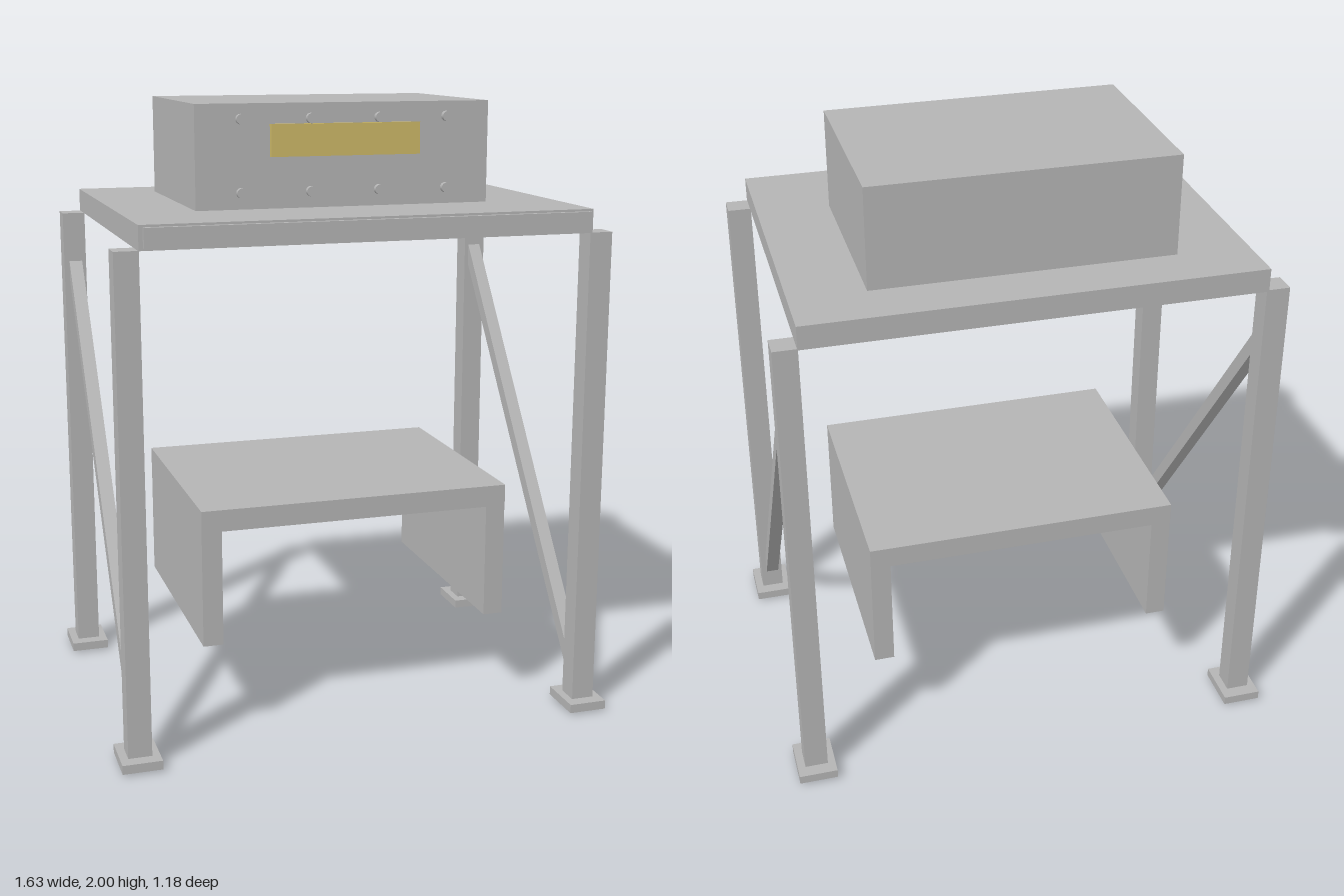
import * as THREE from 'three';

export function createModel() {
  const model = new THREE.Group();
  model.name = 'workbench';
  const grey = new THREE.MeshStandardMaterial({ color: 0xb4b4b4 });
  grey.name = 'grey steel';
  const brass = new THREE.MeshStandardMaterial({ color: 0xccb868 });
  brass.name = 'brass yellow';

  // Box given by its limits on each axis
  function box(name, [x0, x1], [y0, y1], [z0, z1], material = grey) {
    const mesh = new THREE.Mesh(new THREE.BoxGeometry(x1 - x0, y1 - y0, z1 - z0), material);
    mesh.position.set((x0 + x1) / 2, (y0 + y1) / 2, (z0 + z1) / 2);
    mesh.name = name;
    model.add(mesh);
    return mesh;
  }
  const around = (centre, half) => [centre - half, centre + half];

  // Table top with its front panel
  box('tableTop', [-0.715, 0.715], [1.602, 1.677], [-0.556, 0.556]);
  box('frontPanel', [-0.702, 0.702], [1.61, 1.67], [0.556, 0.572]);

  // Legs, foot plates and diagonal side braces
  for (const side of [-1, 1]) {
    for (const end of [-1, 1]) {
      box('leg', around(side * 0.75, 0.0375), [0, 1.602], around(end * 0.51, 0.0375));
      box('footPlate', around(side * 0.75, 0.063), [0.007, 0.036], around(end * 0.51, 0.08));
    }
    const low = new THREE.Vector3(side * 0.748, 0.114, 0.49);
    const high = new THREE.Vector3(side * 0.748, 1.422, -0.49);
    const run = high.clone().sub(low);
    const brace = new THREE.Mesh(new THREE.BoxGeometry(0.044, 0.044, run.length()), grey);
    brace.position.copy(low).add(high).multiplyScalar(0.5);
    brace.rotation.x = Math.atan2(run.y, -run.z);
    brace.name = 'brace';
    model.add(brace);
  }

  // Control box with name plate and bolt heads
  box('controlBox', [-0.48, 0.48], [1.677, 2], [-0.387, 0.257]);
  box('facePlate', [-0.243, 0.243], [1.837, 1.937], [0.257, 0.275], brass);
  const boltShape = new THREE.CylinderGeometry(0.016, 0.016, 0.018, 16).rotateX(Math.PI / 2);
  for (const x of [-0.336, -0.112, 0.112, 0.336]) {
    for (const y of [1.728, 1.953]) {
      const bolt = new THREE.Mesh(boltShape, grey);
      bolt.position.set(x, y, 0.266);
      bolt.name = 'bolt';
      model.add(bolt);
    }
  }

  // Lower hood: roof, two side walls and slats beneath the roof
  box('hoodRoof', [-0.512, 0.512], [0.69, 0.76], [-0.402, 0.402]);
  for (const side of [-1, 1]) {
    box('hoodWall', around(side * 0.4795, 0.0325), [0.313, 0.69], [-0.4, 0.4]);
  }
  for (let i = -2; i <= 2; i++) {
    box('slat', [-0.447, 0.447], [0.672, 0.69], around(i * 0.16, 0.015), brass);
  }
  return model;
}
